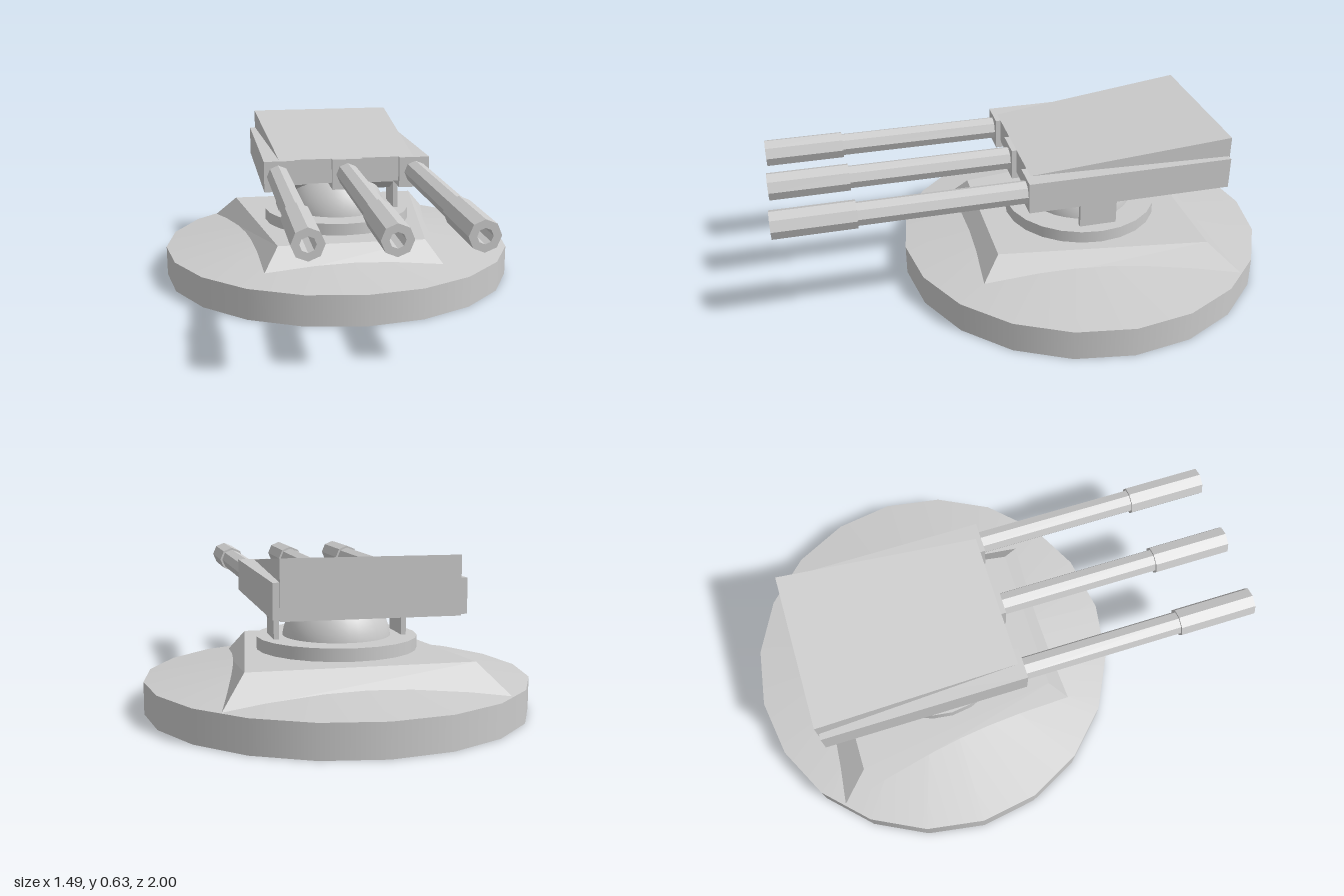
import * as THREE from 'three';

const material = new THREE.MeshStandardMaterial({ color: 0xcccccc });
const flatMaterial = new THREE.MeshStandardMaterial({ color: 0xcccccc, flatShading: true });
const CENTRE_Z = -0.255;

export function createModel() {
  const model = new THREE.Group();
  model.name = 'tripleGunTurret';

  const add = (name, geometry, x, y, z, mat = material, parent = model) => {
    const mesh = new THREE.Mesh(geometry, mat);
    mesh.name = name;
    mesh.position.set(x, y, z);
    parent.add(mesh);
    return mesh;
  };

  // Box from limits on each axis
  const addBox = (name, [x0, x1], [y0, y1], [z0, z1]) =>
    add(name, new THREE.BoxGeometry(x1 - x0, y1 - y0, z1 - z0),
      (x0 + x1) / 2, (y0 + y1) / 2, (z0 + z1) / 2, flatMaterial);

  // Six-sided block, symmetric in x; each end edge is [half width, y, z]
  const wedge = ({ frontTop, frontBottom, backTop, backBottom }) => {
    const geometry = new THREE.BoxGeometry(2, 2, 2);
    const p = geometry.attributes.position;
    for (let i = 0; i < p.count; i++) {
      const top = p.getY(i) > 0;
      const [w, y, z] = p.getZ(i) > 0 ? (top ? frontTop : frontBottom) : (top ? backTop : backBottom);
      p.setXYZ(i, p.getX(i) * w, y, z);
    }
    geometry.computeVertexNormals();
    return geometry;
  };

  // Round base with a shallow conical deck
  add('base', new THREE.CylinderGeometry(0.745, 0.745, 0.125, 20), 0, 0.0625, CENTRE_Z);
  add('baseDeck', new THREE.ConeGeometry(0.745, 0.11, 20, 1, true), 0, 0.18, CENTRE_Z);

  // Tapered plinth sunk into the deck
  add('plinth', wedge({
    frontTop: [0.3, 0.232, 0.165], frontBottom: [0.374, 0.125, 0.252],
    backTop: [0.42, 0.232, -0.66], backBottom: [0.513, 0.125, -0.775],
  }), 0, 0, 0, flatMaterial);

  // Turning ring and dome
  add('turningRing', new THREE.CylinderGeometry(0.313, 0.313, 0.06, 24), 0, 0.251, CENTRE_Z);
  add('dome', new THREE.SphereGeometry(0.212, 32, 12, 0, Math.PI * 2, 0, Math.PI / 2), 0, 0.255, CENTRE_Z);

  // Hexagonal trunnion carried on two upright supports
  const trunnion = new THREE.CylinderGeometry(0.087, 0.087, 0.545, 6);
  trunnion.rotateZ(Math.PI / 2).rotateX(Math.PI / 2);
  add('trunnion', trunnion, 0, 0.44, CENTRE_Z, flatMaterial);
  for (const s of [-1, 1]) {
    const side = s > 0 ? 'left' : 'right';
    addBox(`${side}Support`, [s * 0.25 - 0.01, s * 0.25 + 0.01], [0.27, 0.44], [-0.33, -0.18]);
    // Long side rails holding the outer guns
    addBox(`${side}Rail`, [s * 0.277 - 0.062, s * 0.277 + 0.062], [0.425, 0.55], [-0.765, 0.05]);
  }

  // Wedge-shaped housing rising to the rear
  add('housing', wedge({
    frontTop: [0.276, 0.55, 0.03], frontBottom: [0.276, 0.45, 0.03],
    backTop: [0.315, 0.63, -0.77], backBottom: [0.315, 0.42, -0.77],
  }), 0, 0, 0, flatMaterial);
  addBox('centreMount', [-0.062, 0.062], [0.425, 0.55], [-0.1, 0.05]);

  // Octagonal barrels with a thicker sleeve and an open bore
  const profile = [[0, 0.03], [0.046, 0.03], [0.046, 0.69], [0.055, 0.69], [0.055, 1], [0.027, 1], [0.027, 0.85], [0, 0.85]]
    .map(([r, y]) => new THREE.Vector2(r, y));
  const barrel = new THREE.LatheGeometry(profile, 8);
  barrel.rotateX(Math.PI / 2);
  [['left', 0.282], ['centre', 0], ['right', -0.282]].forEach(([side, x]) =>
    add(`${side}Barrel`, barrel, x, 0.488, 0, flatMaterial));

  return model;
}
